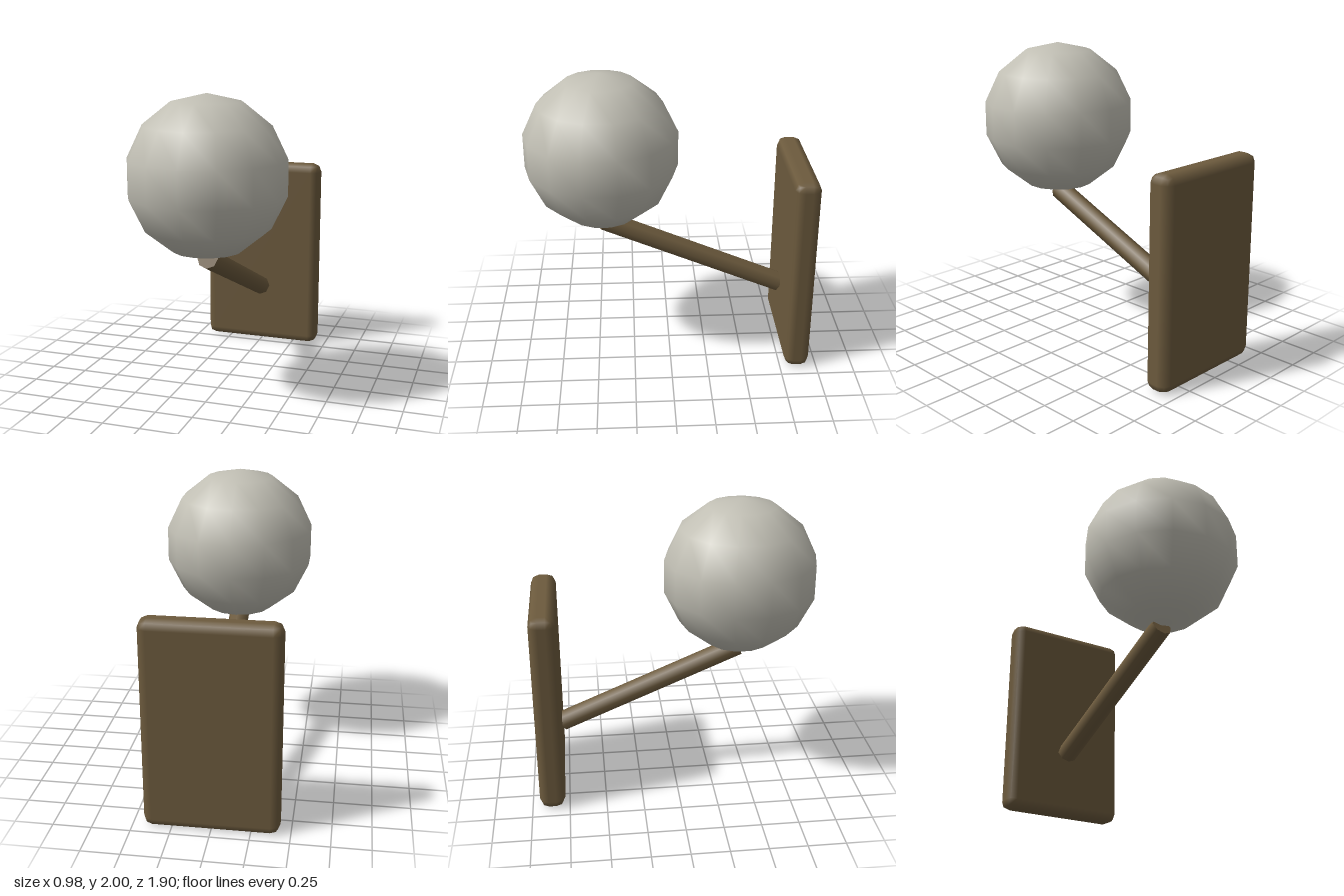
import * as THREE from 'three';
import { RoundedBoxGeometry } from 'three/addons/geometries/RoundedBoxGeometry.js';

export function createModel() {
  const wood = new THREE.MeshStandardMaterial({ name: 'brown', color: 0x6c5a3d });
  const glass = new THREE.MeshStandardMaterial({ name: 'pale grey', color: 0xc1bfb4 });
  const model = new THREE.Group();
  model.name = 'wallLamp';

  const add = (name, geometry, material, position) => {
    const mesh = new THREE.Mesh(geometry, material);
    mesh.name = name;
    mesh.position.copy(position);
    model.add(mesh);
    return mesh;
  };

  // Rounded plate that sits against the wall
  add('wallPlate', new RoundedBoxGeometry(0.865, 1.39, 0.17, 1, 0.06), wood,
    new THREE.Vector3(0, 0.695, -0.865));

  // Slanted arm from the plate up to the globe
  const foot = new THREE.Vector3(0, 0.44, -0.777);
  const tip = new THREE.Vector3(0, 0.96, 0.443);
  const arm = add('arm', new THREE.CylinderGeometry(0.07, 0.07, foot.distanceTo(tip), 8), wood,
    foot.clone().lerp(tip, 0.5));
  arm.rotation.x = Math.atan2(tip.z - foot.z, tip.y - foot.y);

  // Globe shade, turned so that it has a corner facing the front
  const globe = add('globe', new THREE.SphereGeometry(0.518, 14, 7), glass,
    new THREE.Vector3(0, 1.482, 0.443));
  globe.rotation.y = Math.PI / 2;

  return model;
}
